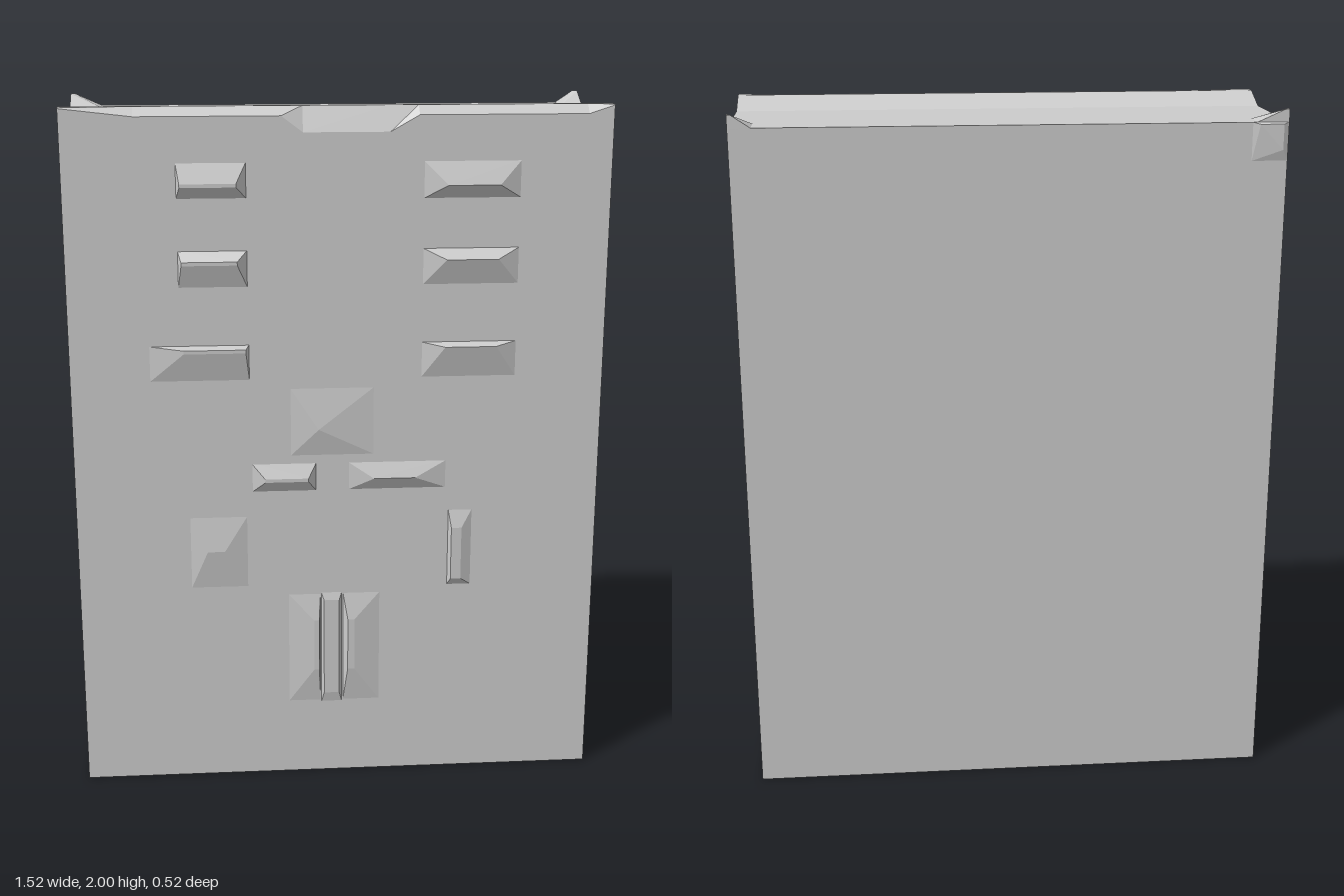
import * as THREE from 'three';
import { ConvexGeometry } from 'three/addons/geometries/ConvexGeometry.js';

const material = new THREE.MeshStandardMaterial({ color: 0xcccccc, flatShading: true });
const FRONT = 0.24, BACK = -0.25, ROOF = 1.965;

function addMesh(parent, name, geometry) {
  const mesh = new THREE.Mesh(geometry, material);
  mesh.name = name;
  parent.add(mesh);
  return mesh;
}

// Walls, roof and front lip: one profile swept along x with a varying lip bevel
function blockGeometry() {
  // x, y where the front bevel starts, z of the bevel's upper edge
  const sections = [
    [-0.76, 1.998, 0.238], [-0.56, 1.975, 0.212], [-0.16, 1.975, 0.212], [-0.10, 1.93, 0.212],
    [0.14, 1.93, 0.212], [0.22, 1.975, 0.212], [0.69, 1.975, 0.212], [0.76, 1.998, 0.238],
  ];
  const positions = [], index = [], n = 7;
  for (const [x, y, z] of sections) {
    const profile = [[BACK, 0], [FRONT, 0], [FRONT, y], [z, 2], [0.2, 2], [0.11, ROOF], [BACK, ROOF]];
    for (const [pz, py] of profile) positions.push(x, py, pz);
  }
  const last = (sections.length - 1) * n;
  for (let s = 0; s < last; s += n) {
    for (let i = 0; i < n; i++) {
      const j = (i + 1) % n;
      index.push(s + i, s + n + i, s + n + j, s + i, s + n + j, s + j);
    }
  }
  // End walls, fanned from the foot of the lip
  for (let k = 1; k < n - 1; k++) {
    const a = 5, b = (5 + k) % n, c = (6 + k) % n;
    index.push(a, b, c, last + a, last + c, last + b);
  }
  const geometry = new THREE.BufferGeometry();
  geometry.setAttribute('position', new THREE.Float32BufferAttribute(positions, 3));
  geometry.setIndex(index);
  geometry.computeVertexNormals();
  return geometry;
}

// Faceted relief: a base rectangle on the facade rising to a smaller rectangle, ridge or point
function reliefGeometry([x0, x1, y0, y1], [u0, u1, v0, v1], height) {
  const points = [];
  for (const [x, y] of [[x0, y0], [x1, y0], [x1, y1], [x0, y1]]) {
    points.push(new THREE.Vector3(x, y, FRONT - 0.002));
  }
  for (const [x, y] of [[u0, v0], [u1, v0], [u1, v1], [u0, v1]]) {
    points.push(new THREE.Vector3(x, y, FRONT + height));
  }
  // Drop repeated points where the top is a ridge or a single peak
  const unique = points.filter((p, i) => points.findIndex((q) => q.distanceTo(p) < 1e-6) === i);
  return new ConvexGeometry(unique);
}

// Small raised horn on a back corner of the roof
function hornGeometry(side, width, depth) {
  const x = 0.76 * side, inner = x - side * width, y = ROOF - 0.005;
  const points = [
    [x, y, BACK], [inner, y, BACK], [x, y, BACK + depth], [inner, y, BACK + depth],
    [x, 2, BACK], [x - side * 0.01, 2, BACK], [x, 2, BACK + 0.02],
  ];
  return new ConvexGeometry(points.map((p) => new THREE.Vector3(...p)));
}

export function createModel() {
  const model = new THREE.Group();
  model.name = 'building';
  addMesh(model, 'block', blockGeometry());
  addMesh(model, 'rightRoofHorn', hornGeometry(-1, 0.1, 0.085));
  addMesh(model, 'leftRoofHorn', hornGeometry(1, 0.07, 0.1));

  // Slight bulge below the right back corner
  const bulge = [
    [-0.76, 1.965, BACK], [-0.66, 1.965, BACK], [-0.76, 1.86, BACK], [-0.66, 1.86, BACK],
    [-0.745, 1.96, -0.258], [-0.68, 1.96, -0.256], [-0.745, 1.89, -0.258],
  ];
  addMesh(model, 'backCornerBulge', new ConvexGeometry(bulge.map((p) => new THREE.Vector3(...p))));

  // Facade reliefs: name, base [x0, x1, y0, y1], top [x0, x1, y0, y1], height
  const facade = new THREE.Group();
  facade.name = 'facade';
  model.add(facade);
  const reliefs = [
    ['rightWindowTop', [-0.45, -0.255, 1.75, 1.855], [-0.44, -0.285, 1.785, 1.795], 0.02],
    ['rightWindowMiddle', [-0.45, -0.255, 1.5, 1.61], [-0.44, -0.285, 1.57, 1.58], 0.02],
    ['rightWindowBottom', [-0.545, -0.255, 1.23, 1.34], [-0.44, -0.265, 1.32, 1.33], 0.02],
    ['leftWindowTop', [0.23, 0.51, 1.745, 1.855], [0.3, 0.445, 1.785, 1.785], 0.023],
    ['leftWindowMiddle', [0.23, 0.51, 1.5, 1.61], [0.3, 0.445, 1.578, 1.578], 0.023],
    ['leftWindowBottom', [0.23, 0.51, 1.23, 1.34], [0.3, 0.445, 1.328, 1.328], 0.023],
    ['centrePeak', [-0.15, 0.12, 1.0, 1.225], [-0.06, -0.06, 1.09, 1.09], 0.015],
    ['rightLintel', [-0.255, -0.065, 0.9, 0.99], [-0.215, -0.09, 0.935, 0.945], 0.018],
    ['leftLintel', [0.02, 0.32, 0.9, 0.99], [0.1, 0.22, 0.94, 0.94], 0.018],
    ['rightSidePanel', [-0.44, -0.26, 0.595, 0.84], [-0.385, -0.335, 0.725, 0.725], 0.015],
    ['leftSidePanel', [0.32, 0.395, 0.595, 0.84], [0.33, 0.36, 0.62, 0.78], 0.013],
    ['doorRightLeaf', [-0.16, -0.055, 0.22, 0.59], [-0.075, -0.06, 0.34, 0.5], 0.014],
    ['doorCentre', [-0.055, 0.01, 0.22, 0.59], [-0.045, 0, 0.26, 0.56], 0.006],
    ['doorLeftLeaf', [0.01, 0.13, 0.22, 0.59], [0.025, 0.045, 0.34, 0.5], 0.015],
  ];
  for (const [name, base, top, height] of reliefs) {
    addMesh(facade, name, reliefGeometry(base, top, height));
  }
  return model;
}
